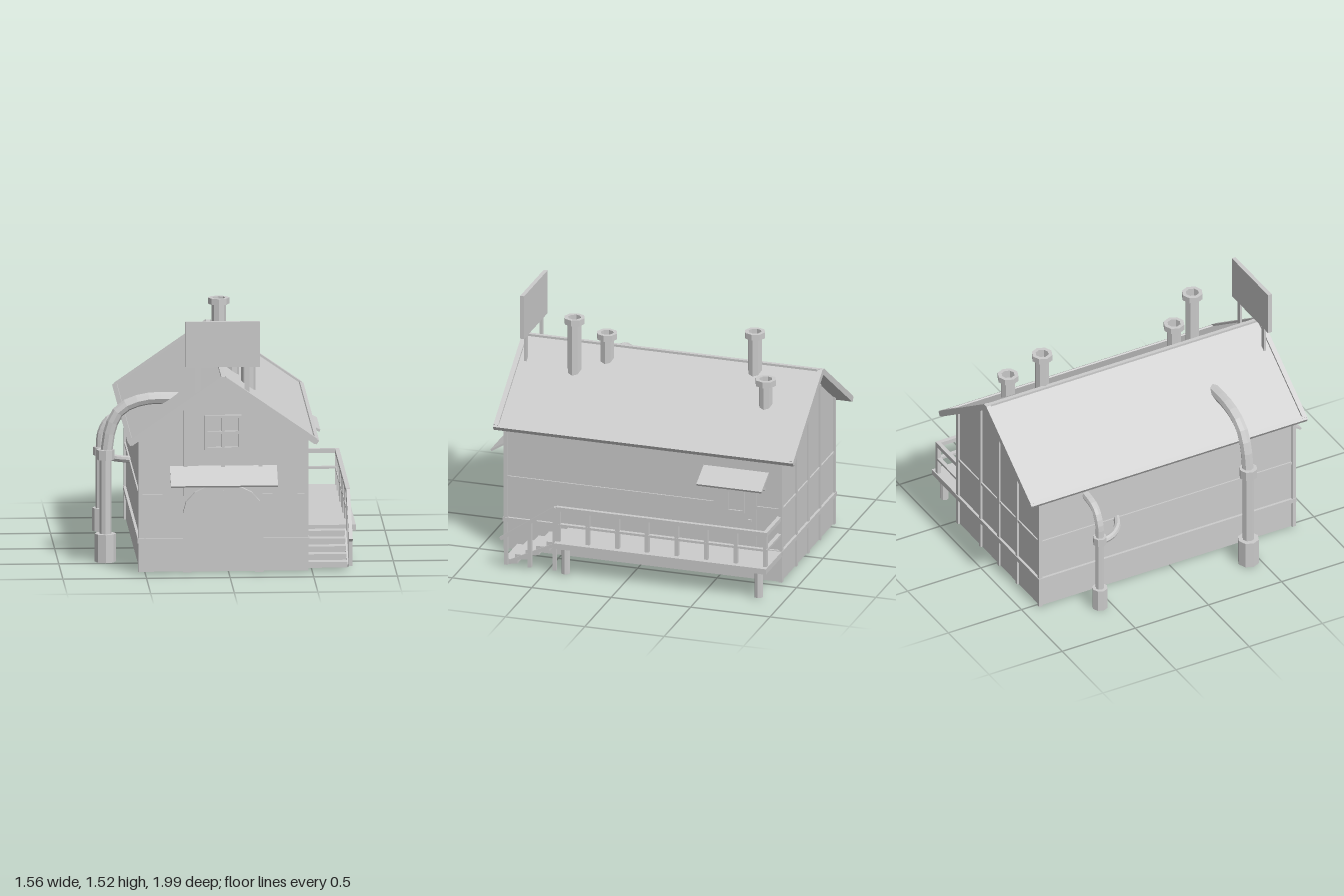
import * as THREE from 'three';

const mat = new THREE.MeshStandardMaterial({ color: 0xcccccc, flatShading: true });
const CX = -0.035; // ridge line

export function createModel() {
  const root = new THREE.Group();
  const V = (p) => new THREE.Vector3(...p);
  const group = (name) => {
    const g = new THREE.Group();
    g.name = name;
    root.add(g);
    return g;
  };
  const mesh = (parent, name, geo) => {
    const m = new THREE.Mesh(geo, mat);
    m.name = name;
    parent.add(m);
    return m;
  };
  // Box given by its limits
  const box = (parent, name, x0, x1, y0, y1, z0, z1) => {
    const m = mesh(parent, name, new THREE.BoxGeometry(x1 - x0, y1 - y0, z1 - z0));
    m.position.set((x0 + x1) / 2, (y0 + y1) / 2, (z0 + z1) / 2);
    return m;
  };
  // Square bar from a to b
  const bar = (parent, name, a, b, w, h = w) => {
    const m = mesh(parent, name, new THREE.BoxGeometry(w, h, V(a).distanceTo(V(b))));
    m.position.copy(V(a)).lerp(V(b), 0.5);
    m.lookAt(V(b));
    return m;
  };
  // Outline in x, y pushed along z from z0 to z1
  const extrude = (parent, name, pts, z0, z1) => {
    const shape = new THREE.Shape(pts.map((p) => new THREE.Vector2(...p)));
    const geo = new THREE.ExtrudeGeometry(shape, { depth: z1 - z0, bevelEnabled: false });
    const m = mesh(parent, name, geo);
    m.position.z = z0;
    return m;
  };
  const lathe = (parent, name, pts, x, y, z) => {
    const geo = new THREE.LatheGeometry(pts.map((p) => new THREE.Vector2(...p)), 8);
    const m = mesh(parent, name, geo);
    m.position.set(x, y, z);
    return m;
  };
  const tube = (parent, name, pts, r) => {
    const curve = new THREE.CatmullRomCurve3(pts.map(V));
    const m = mesh(parent, name, new THREE.TubeGeometry(curve, 10, r, 8));
    m.material = mat.clone();
    m.material.side = THREE.DoubleSide;
    return m;
  };

  // House body
  const house = group('house');
  extrude(house, 'walls', [[-0.53, 0.01], [0.465, 0.01], [0.465, 0.83], [CX, 1.175], [-0.53, 0.83]], -0.89, 0.84);

  // Roof slabs with a raised rim
  const roof = group('roof');
  extrude(roof, 'roofSlab', [[CX, 1.195], [-0.595, 0.807], [-0.58, 0.787], [CX, 1.165], [0.51, 0.787], [0.525, 0.807]], -0.99, 0.9);
  for (const s of [-1, 1]) {
    const eave = [CX + s * 0.552, 0.805], top = [CX + s * 0.005, 1.185];
    for (const z of [-0.975, 0.885])
      bar(roof, 'rakeBoard', [...eave, z], [...top, z], 0.03, 0.036);
    bar(roof, 'eaveBoard', [...eave, -0.99], [...eave, 0.9], 0.03, 0.03).rotateZ(-s * 0.6);
  }
  box(roof, 'ridgeStrip', CX - 0.012, CX + 0.012, 1.175, 1.2, -0.99, 0.9);

  // Timber framing
  const timber = group('timberFrame');
  for (const x of [-0.53, 0.465])
    for (const z of [-0.89, 0.84])
      box(timber, 'cornerPost', x - 0.012, x + 0.012, 0.01, 0.83, z - 0.012, z + 0.012);
  for (const [y, h, out] of [[0.2, 0.014, 0.016], [0.47, 0.009, 0.009]]) {
    for (const x of [-0.53, 0.465])
      box(timber, 'sideBand', x - out, x + out, y - h, y + h, -0.89 - out, 0.84 + out);
    box(timber, 'backBand', -0.53, 0.465, y - h, y + h, -0.89 - out, -0.88);
    box(timber, 'frontBandLeft', 0.19, 0.465, y - h, y + h, 0.83, 0.84 + out);
    box(timber, 'frontBandRight', -0.53, -0.26, y - h, y + h, 0.83, 0.84 + out);
  }
  for (const x of [CX - 0.224, CX, CX + 0.224]) {
    const top = x === CX ? 1.17 : 1.01;
    box(timber, 'backStud', x - 0.011, x + 0.011, 0.01, top, -0.902, -0.88);
    box(timber, 'frontStud', x - 0.011, x + 0.011, x === CX ? 0.52 : 0.47, top, 0.83, 0.853);
  }

  // Arched doorway
  const door = group('archedDoor');
  const arch = (rx, ry) => {
    const pts = [];
    for (let i = 0; i <= 8; i++) {
      const a = (Math.PI * i) / 8;
      pts.push([CX + rx * Math.cos(a), 0.37 + ry * Math.sin(a)]);
    }
    return [[CX + rx, 0.01], ...pts, [CX - rx, 0.01]];
  };
  extrude(door, 'doorFrame', [...arch(0.24, 0.175), ...arch(0.19, 0.135).reverse()], 0.83, 0.875);
  extrude(door, 'doorPanel', arch(0.195, 0.14), 0.83, 0.843);
  box(door, 'doorSeam', CX - 0.008, CX + 0.008, 0.02, 0.5, 0.84, 0.85);

  // Gable window
  const win = group('gableWindow');
  for (const x of [-0.137, CX, 0.067])
    box(win, 'windowUpright', x - 0.008, x + 0.008, 0.75, 0.96, 0.83, 0.862);
  for (const y of [0.758, 0.855, 0.952])
    box(win, 'windowCrossbar', -0.145, 0.075, y - 0.008, y + 0.008, 0.83, 0.861);

  // Awnings over both doors
  const awning = group('awnings');
  bar(awning, 'frontAwning', [CX + 0.002, 0.647, 0.84], [CX + 0.002, 0.552, 0.995], 0.64, 0.012);
  for (const x of [-0.32, 0.25])
    bar(awning, 'frontBrace', [x, 0.535, 0.84], [x, 0.592, 0.93], 0.018);
  bar(awning, 'sideAwning', [0.465, 0.697, -0.61], [0.606, 0.626, -0.61], 0.41, 0.014);
  for (const z of [-0.43, -0.785])
    bar(awning, 'sideBrace', [0.465, 0.592, z], [0.565, 0.645, z], 0.018);

  // Side door
  const side = group('sideDoor');
  box(side, 'sideDoorPanel', 0.46, 0.475, 0.2, 0.62, -0.74, -0.47);
  for (const z of [-0.66, -0.56])
    box(side, 'paneUpright', 0.47, 0.485, 0.43, 0.57, z - 0.006, z + 0.006);
  for (const y of [0.436, 0.564])
    box(side, 'paneCrossbar', 0.47, 0.485, y - 0.006, y + 0.006, -0.66, -0.56);
  box(side, 'doorHandle', 0.47, 0.488, 0.38, 0.392, -0.71, -0.69);

  // Raised porch with railing
  const porch = group('porch');
  box(porch, 'deck', 0.46, 0.78, 0.175, 0.21, -0.9, 0.435);
  for (const z of [0.375, -0.84]) {
    const leg = mesh(porch, 'porchLeg', new THREE.CylinderGeometry(0.026, 0.026, 0.17, 8));
    leg.position.set(0.735, 0.095, z);
  }
  const RX = 0.733;
  for (let i = 0; i < 8; i++) {
    const z = 0.42 - i * 0.186;
    box(porch, 'railPost', RX - 0.012, RX + 0.012, 0.2, 0.41, z - 0.012, z + 0.012);
  }
  for (const [y, h] of [[0.417, 0.013], [0.315, 0.007]]) {
    box(porch, 'longRail', RX - 0.013, RX + 0.013, y - h, y + h, -0.895, 0.435);
    box(porch, 'backRail', 0.465, RX, y - h, y + h, -0.895, -0.87);
  }

  // Stairs: a folded band of steps, turned to climb toward the back
  const stairs = group('stairs');
  const steps = 5, run = 0.335 / steps, rise = 0.175 / steps;
  const upper = [], lower = [];
  for (let i = 0; i < steps; i++) {
    upper.push([i * run, i * rise], [i * run, (i + 1) * rise]);
    lower.push([i * run + 0.018, i * rise], [(i + 1) * run + 0.018, i * rise + 0.012]);
  }
  upper.push([steps * run, steps * rise]);
  const flight = extrude(stairs, 'steps', [...upper, ...lower.reverse()], 0, 0.25);
  flight.rotation.y = Math.PI / 2;
  flight.position.set(0.462, 0.012, 0.77);
  bar(stairs, 'stairRail', [RX, 0.18, 0.785], [RX, 0.42, 0.44], 0.022);
  for (const [z, top] of [[0.75, 0.2], [0.6, 0.31], [0.445, 0.42]])
    box(stairs, 'stairPost', RX - 0.011, RX + 0.011, 0.02, top, z - 0.011, z + 0.011);
  bar(stairs, 'stringer', [0.715, 0.02, 0.76], [0.715, 0.18, 0.44], 0.012, 0.02);

  // Chimneys with hollow caps
  const chimneys = group('chimneys');
  for (const [x, z, top] of [[0.195, -0.705, 1.19], [0.01, -0.575, 1.41], [0.043, 0.345, 1.3], [0.133, 0.52, 1.41]]) {
    const h = top - 0.97;
    lathe(chimneys, 'chimney', [[0.043, 0], [0.043, h - 0.037], [0.064, h - 0.037], [0.064, h], [0.04, h], [0.04, h - 0.05], [0, h - 0.05]], x, 0.97, z);
  }

  // Signboard on two posts
  const sign = group('signboard');
  box(sign, 'board', -0.26, 0.185, 1.25, 1.525, 0.82, 0.845);
  for (const x of [-0.185, 0.11])
    box(sign, 'signPost', x - 0.015, x + 0.015, 1.05, 1.26, 0.825, 0.84);

  // Outside pipes: foot, straight run and collar, then bends
  const pipes = group('pipes');
  const standpipe = (name, x, z, R, r, footTop, collar0, collar1, C) =>
    lathe(pipes, name, [[0, 0], [R, 0], [R, footTop], [r, footTop], [r, collar0], [C, collar0], [C, collar1], [0, collar1]], x, 0, z);
  standpipe('largeStandpipe', -0.718, 0.43, 0.065, 0.036, 0.17, 0.62, 0.68, 0.055);
  tube(pipes, 'largeBend', [[-0.715, 0.64, 0.43], [-0.685, 0.82, 0.43], [-0.63, 0.92, 0.43], [-0.5, 0.98, 0.43], [-0.25, 0.99, 0.43]], 0.036);
  standpipe('smallStandpipe', -0.7, -0.575, 0.047, 0.026, 0.14, 0.46, 0.51, 0.042);
  tube(pipes, 'smallBend', [[-0.7, 0.49, -0.575], [-0.69, 0.6, -0.575], [-0.64, 0.68, -0.575], [-0.52, 0.71, -0.575]], 0.026);
  tube(pipes, 'smallBranch', [[-0.7, 0.47, -0.56], [-0.675, 0.47, -0.48], [-0.6, 0.47, -0.4], [-0.52, 0.47, -0.36]], 0.021);

  return root;
}
